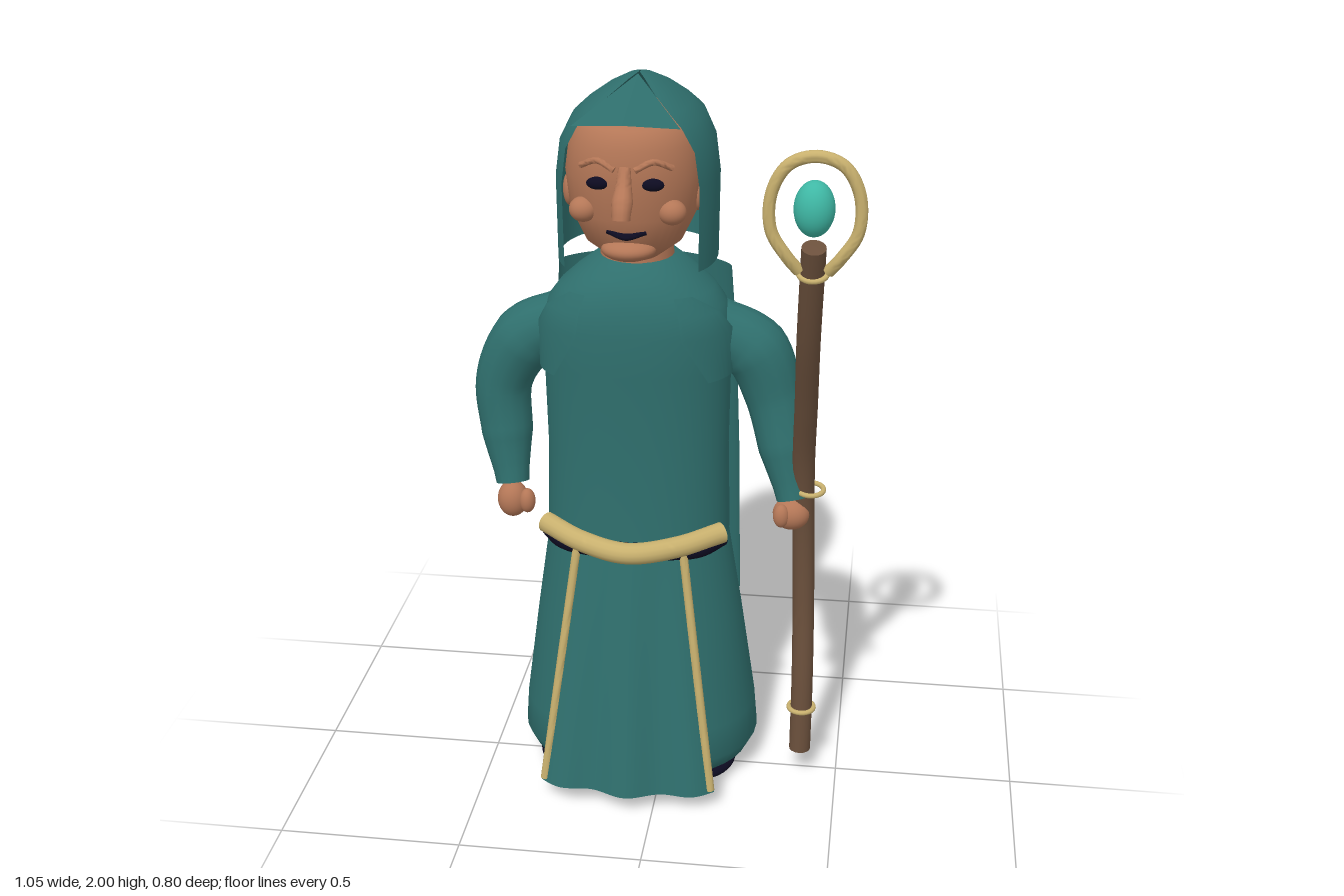
import * as THREE from 'three';
import { toCreasedNormals } from 'three/addons/utils/BufferGeometryUtils.js';

const mat = (name, color, side = THREE.FrontSide) => {
  const m = new THREE.MeshStandardMaterial({ color, side });
  m.name = name;
  return m;
};

// Surface through elliptical rows [y, halfWidth, zFront, zBack, startAngle, endAngle], lowest row first
function loft(rows, power = 1, cols = 40) {
  const pos = [], index = [];
  const bend = (v) => Math.sign(v) * Math.abs(v) ** power;
  rows.forEach(([y, w, zf, zb, t0 = 0, t1 = Math.PI * 2], i) => {
    for (let j = 0; j <= cols; j++) {
      const t = t0 + (t1 - t0) * j / cols;
      pos.push(w * bend(Math.sin(t)), y, (zf + zb) / 2 + (zf - zb) / 2 * bend(Math.cos(t)));
      if (i < rows.length - 1 && j < cols) {
        const a = i * (cols + 1) + j, b = a + cols + 1;
        index.push(a, a + 1, b + 1, a, b + 1, b);
      }
    }
  });
  const g = new THREE.BufferGeometry();
  g.setAttribute('position', new THREE.Float32BufferAttribute(pos, 3));
  g.setIndex(index);
  return toCreasedNormals(g, 1.15);
}

// Capped tube along a smooth path, with radii spread along its length
function limb(points, radii, segs = 32, sides = 14) {
  const curve = new THREE.CatmullRomCurve3(points.map((p) => new THREE.Vector3(...p)));
  const g = new THREE.TubeGeometry(curve, segs, 1, sides);
  const p = g.attributes.position, v = new THREE.Vector3(), shift = new THREE.Vector3();
  for (let i = 0; i <= segs; i++) {
    const f = i / segs * (radii.length - 1), k = Math.min(Math.floor(f), radii.length - 1);
    const r = THREE.MathUtils.lerp(radii[k], radii[Math.min(k + 1, radii.length - 1)], f - k);
    const centre = curve.getPointAt(i / segs);
    const end = i === 0 || i === segs, nextToEnd = i === 1 || i === segs - 1;
    shift.set(0, 0, 0);
    if (nextToEnd) shift.copy(curve.getPointAt(i === 1 ? 0 : 1)).sub(centre).multiplyScalar(0.9);
    for (let j = 0; j <= sides; j++) {
      const n = i * (sides + 1) + j;
      v.fromBufferAttribute(p, n).sub(centre).multiplyScalar(end ? 0 : r).add(centre).add(shift);
      p.setXYZ(n, v.x, v.y, v.z);
    }
  }
  return toCreasedNormals(g, 0.9);
}

export function createModel() {
  const cloth = mat('teal cloth', 0x2f6f6d, THREE.DoubleSide);
  const skin = mat('skin', 0xb47757);
  const gold = mat('gold', 0xc8b06e);
  const wood = mat('wood', 0x6b503c);
  const dark = mat('dark', 0x0d0b21);
  const gem = mat('turquoise gem', 0x3fb8a5);

  const model = new THREE.Group();
  const body = new THREE.Group();
  body.name = 'figure';
  body.position.x = -0.075;
  model.add(body);

  const add = (name, geo, material, parent = body) => {
    const m = new THREE.Mesh(geo, material);
    m.name = name;
    parent.add(m);
    return m;
  };
  const blob = (name, material, [x, y, z], [rx, ry, rz], parent = body) => {
    const m = add(name, new THREE.SphereGeometry(1, 28, 20), material, parent);
    m.position.set(x, y, z);
    m.scale.set(rx, ry, rz);
    return m;
  };

  // Robe
  add('skirt', loft([
    [0.04, 0.001, -0.04, -0.05], [0.04, 0.27, 0.16, -0.26], [0.055, 0.315, 0.2, -0.3], [0.1, 0.338, 0.218, -0.32],
    [0.2, 0.33, 0.215, -0.308], [0.5, 0.288, 0.18, -0.25], [0.78, 0.245, 0.155, -0.195],
  ], 0.95), cloth);
  add('robeTop', loft([
    [0.76, 0.252, 0.155, -0.197], [1, 0.246, 0.145, -0.19], [1.25, 0.25, 0.155, -0.19], [1.36, 0.25, 0.16, -0.185],
    [1.42, 0.235, 0.152, -0.182], [1.46, 0.205, 0.14, -0.175], [1.5, 0.16, 0.12, -0.16], [1.54, 0.105, 0.08, -0.13],
    [1.555, 0.001, -0.02, -0.03],
  ], 0.9), cloth);

  // Front apron between the cords, flaring and rippling towards the hem
  const apron = new THREE.PlaneGeometry(2, 1, 40, 16);
  const ap = apron.attributes.position;
  for (let i = 0; i < ap.count; i++) {
    const u = ap.getX(i), t = 0.5 - ap.getY(i);
    ap.setXYZ(i, u * (0.15 + 0.095 * t), 0.79 - 0.735 * t,
      0.178 + 0.115 * t - (0.035 + 0.015 * t) * u * u + 0.012 * t * Math.cos(u * 8));
  }
  apron.computeVertexNormals();
  add('apron', apron, cloth);
  for (const s of [-1, 1]) {
    add('apronCord', limb([[s * 0.14, 0.79, 0.15], [s * 0.187, 0.43, 0.2], [s * 0.235, 0.06, 0.245]], [0.012], 24, 10), gold);
    blob('foot', dark, [s * 0.187, 0.033, 0.02], [0.098, 0.033, 0.125]);
  }

  // Belt with dark sash beneath
  add('belt', limb([[-0.243, 0.788, 0.08], [-0.13, 0.775, 0.158], [0, 0.768, 0.2], [0.13, 0.775, 0.158], [0.243, 0.788, 0.08]], [0.029], 48), gold);
  add('sash', limb([[-0.238, 0.762, 0.06], [-0.18, 0.755, 0.125], [0, 0.757, 0.165], [0.18, 0.755, 0.125], [0.238, 0.762, 0.06]], [0.024], 48), dark);

  // Shoulder panels
  const panel = loft([
    [1.235, 0.262, 0.17, -0.2, 0.85, 1.4], [1.36, 0.262, 0.175, -0.195, 0.5, 1.4],
    [1.42, 0.246, 0.167, -0.19, 0.5, 1.15], [1.468, 0.212, 0.152, -0.18, 0.52, 0.8],
  ], 0.88, 16);
  add('leftShoulderPanel', panel, cloth);
  add('rightShoulderPanel', panel, cloth).scale.x = -1;

  // Cape with a hem that dips at the middle, and its cord
  const h = Math.PI / 2, e = Math.PI * 1.5;
  const cape = loft([
    [0.405, 0.265, -0.115, -0.385, h, e], [0.9, 0.26, -0.08, -0.335, h, e], [1.25, 0.25, -0.04, -0.305, h, e], [1.465, 0.235, -0.03, -0.285, h, e],
  ], 1.25);
  const cp = cape.attributes.position;
  for (let i = 0; i < cp.count; i++) {
    if (cp.getY(i) < 0.5) cp.setY(i, cp.getY(i) + 0.5 * cp.getX(i) ** 2);
  }
  add('cape', cape, cloth);
  add('capeCord', limb([[0, 1.46, -0.288], [0, 1.25, -0.311], [0, 0.9, -0.341], [0, 0.41, -0.391]], [0.011], 32, 10), gold);

  // Arms and hands
  add('rightArm', limb([[-0.19, 1.35, -0.035], [-0.3, 1.29, -0.035], [-0.37, 1.16, -0.035], [-0.365, 1.02, -0.02], [-0.345, 0.875, 0.02]],
    [0.075, 0.09, 0.077, 0.07, 0.042]), cloth);
  add('leftArm', limb([[0.19, 1.35, -0.035], [0.31, 1.28, -0.035], [0.365, 1.15, -0.03], [0.4, 1.01, 0], [0.43, 0.88, 0.04]],
    [0.075, 0.09, 0.077, 0.07, 0.042]), cloth);
  blob('rightHand', skin, [-0.345, 0.83, 0.03], [0.042, 0.052, 0.042]);
  blob('rightThumb', skin, [-0.3, 0.835, 0.05], [0.022, 0.035, 0.025]);
  blob('leftHand', skin, [0.425, 0.84, 0.045], [0.05, 0.045, 0.042]);
  blob('leftThumb', skin, [0.4, 0.845, 0.075], [0.022, 0.033, 0.022]);

  // Head and face
  const neck = add('neck', new THREE.CylinderGeometry(0.09, 0.1, 0.16, 24), skin);
  neck.position.set(0, 1.57, -0.02);
  add('head', loft([
    [1.55, 0.001, 0.03, 0.02], [1.558, 0.07, 0.11, -0.07], [1.6, 0.125, 0.155, -0.1], [1.68, 0.163, 0.18, -0.12], [1.78, 0.174, 0.192, -0.13],
    [1.86, 0.163, 0.188, -0.13], [1.905, 0.142, 0.165, -0.12], [1.93, 0.1, 0.11, -0.1], [1.945, 0.001, 0, -0.01],
  ]), skin);
  blob('chin', skin, [0, 1.597, 0.13], [0.07, 0.03, 0.058]);
  add('nose', limb([[0, 1.82, 0.185], [0, 1.77, 0.21], [0, 1.725, 0.242], [0, 1.705, 0.248]], [0.015, 0.02, 0.027, 0.022], 20), skin);
  add('mouth', limb([[-0.05, 1.65, 0.162], [0, 1.641, 0.175], [0.05, 1.65, 0.162]], [0.005, 0.01, 0.005], 16, 8), dark);
  for (const s of [-1, 1]) {
    blob('eye', dark, [s * 0.068, 1.778, 0.179], [0.029, 0.016, 0.014]);
    blob('cheek', skin, [s * 0.112, 1.7, 0.143], [0.036, 0.032, 0.034]);
    blob('ear', skin, [s * 0.165, 1.72, 0.03], [0.018, 0.045, 0.03]);
    add('brow', limb([[s * 0.025, 1.815, 0.192], [s * 0.07, 1.835, 0.179], [s * 0.115, 1.815, 0.153]], [0.008], 16, 8), skin);
  }

  // Hood, open at the face, with a pointed flap
  const open = (a) => [a, Math.PI * 2 - a];
  add('hood', loft([
    [1.53, 0.208, 0.18, -0.27, ...open(0.95)], [1.75, 0.21, 0.19, -0.29, ...open(0.95)], [1.84, 0.198, 0.19, -0.297, ...open(0.93)],
    [1.9, 0.168, 0.175, -0.297, ...open(0.85)], [1.93, 0.135, 0.145, -0.265, ...open(0.8)], [1.965, 0.085, 0.07, -0.205, ...open(0.7)],
    [1.99, 0.035, -0.02, -0.14, ...open(0.6)], [2, 0.002, -0.07, -0.09, ...open(0.6)],
  ], 0.9), cloth);
  const flap = new THREE.BufferGeometry();
  flap.setAttribute('position', new THREE.Float32BufferAttribute([
    0, 2, -0.05, -0.135, 1.915, 0.165, 0, 1.935, 0.228,
    0, 2, -0.05, 0, 1.935, 0.228, 0.135, 1.915, 0.165,
  ], 3));
  flap.computeVertexNormals();
  add('hoodFlap', flap, cloth);

  // Staff with rings, loop and gem
  const staff = new THREE.Group();
  staff.name = 'staff';
  model.add(staff);
  add('shaft', limb([
    [0.395, 0.08, 0.03], [0.395, 0.3, 0.025], [0.39, 0.55, 0.01], [0.383, 0.8, 0.02], [0.38, 1, 0.06],
    [0.385, 1.2, 0.14], [0.39, 1.42, 0.24], [0.4, 1.69, 0.343],
  ], [0.03], 60, 16), wood, staff);
  for (const [x, y, z, tilt] of [[0.395, 0.22, 0.028, 0], [0.4, 0.915, 0.045, 0.1], [0.398, 1.615, 0.31, 0.35]]) {
    const ring = add('staffRing', new THREE.TorusGeometry(0.035, 0.007, 10, 28), gold, staff);
    ring.position.set(x, y, z);
    ring.rotation.x = Math.PI / 2 + tilt;
  }
  add('staffLoop', limb([
    [0.365, 1.625, 0.33], [0.335, 1.665, 0.345], [0.297, 1.73, 0.35], [0.297, 1.82, 0.35], [0.335, 1.888, 0.35], [0.4, 1.91, 0.35],
    [0.465, 1.888, 0.35], [0.503, 1.82, 0.35], [0.503, 1.73, 0.35], [0.465, 1.665, 0.345], [0.435, 1.625, 0.33],
  ], [0.015], 64), gold, staff);
  blob('gem', gem, [0.398, 1.785, 0.35], [0.049, 0.068, 0.049], staff);

  return model;
}
